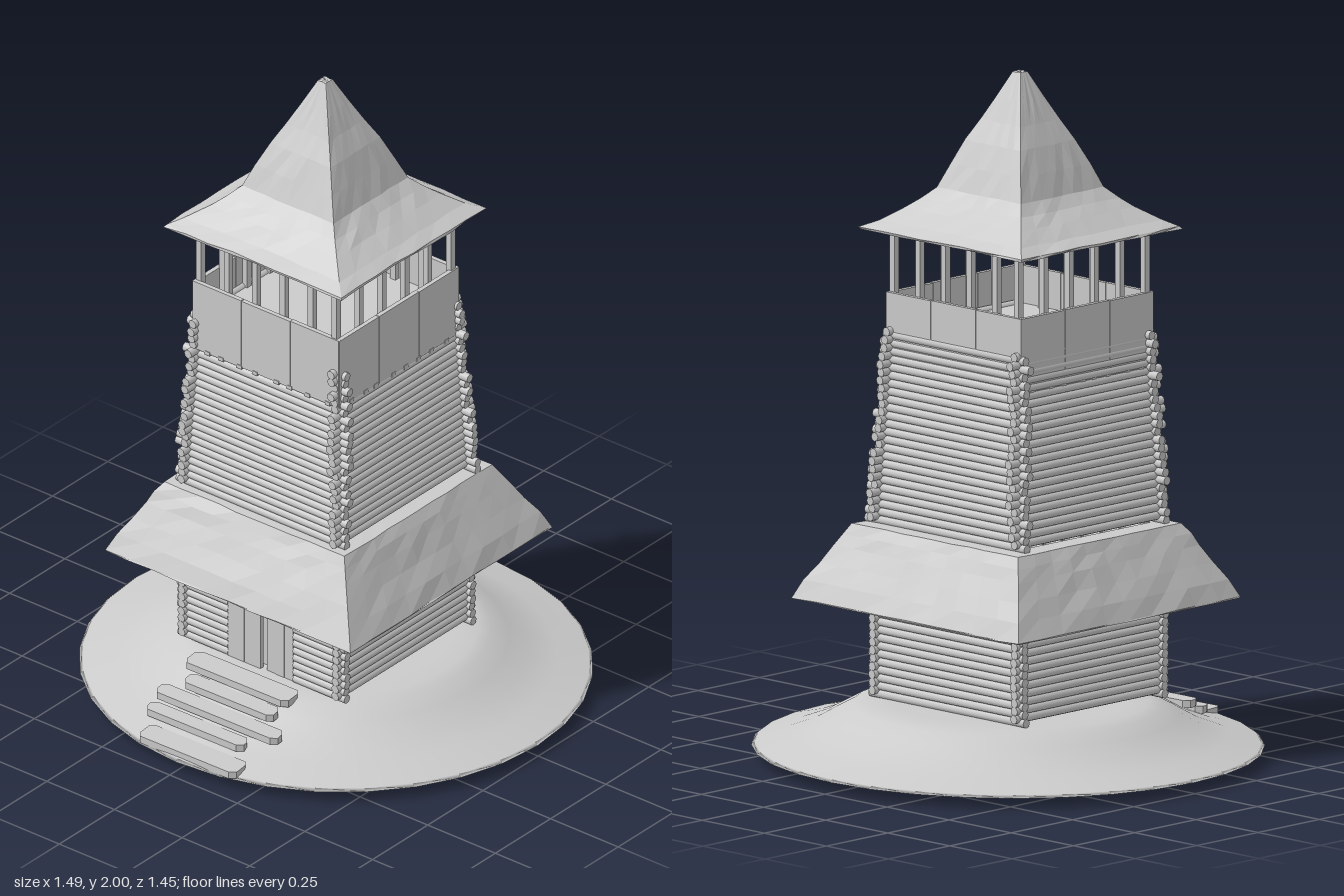
import * as THREE from 'three';

const mat = new THREE.MeshStandardMaterial({ color: 0xcccccc, side: THREE.DoubleSide });
const flat = new THREE.MeshStandardMaterial({ color: 0xcccccc, flatShading: true, side: THREE.DoubleSide });

// Seeded jitter in the range -1..1
let seed = 7;
const jitter = () => {
  seed = (seed * 16807) % 2147483647;
  return (seed / 2147483647) * 2 - 1;
};

function add(parent, name, geometry, x = 0, y = 0, z = 0, material = flat) {
  const mesh = new THREE.Mesh(geometry, material);
  mesh.name = name;
  mesh.position.set(x, y, z);
  parent.add(mesh);
  return mesh;
}

function group(parent, name, x = 0, z = 0) {
  const g = new THREE.Group();
  g.name = name;
  g.position.set(x, 0, z);
  parent.add(g);
  return g;
}

// Square roof built from rows of [half width, y]; inner rows wobble slightly
function squareRoof(rows, n, wobble) {
  const pos = [], index = [], ring = 4 * n;
  rows.forEach(([half, y], r) => {
    const inner = r > 0 && r < rows.length - 1;
    for (let i = 0; i < ring; i++) {
      const side = Math.floor(i / n), t = ((i % n) / n) * 2 - 1;
      const d = inner ? half + jitter() * wobble * half : half;
      const a = side * Math.PI / 2, c = Math.cos(a), s = Math.sin(a);
      const px = t * d, pz = d;
      pos.push(px * c + pz * s, y + (inner ? jitter() * wobble * 0.1 : 0), -px * s + pz * c);
    }
  });
  for (let r = 0; r < rows.length - 1; r++) {
    for (let i = 0; i < ring; i++) {
      const j = (i + 1) % ring, a = r * ring + i, b = r * ring + j;
      index.push(a, b, b + ring, a, b + ring, a + ring);
    }
  }
  const g = new THREE.BufferGeometry();
  g.setAttribute('position', new THREE.Float32BufferAttribute(pos, 3));
  g.setIndex(index);
  g.computeVertexNormals();
  return g;
}

// Horizontal log between two points along x or z
function addLog(parent, alongX, from, to, y, offset, r) {
  const mid = (from + to) / 2;
  const log = add(parent, 'log', new THREE.CylinderGeometry(r, r, to - from, 8),
    alongX ? mid : offset, y, alongX ? offset : mid, mat);
  if (alongX) log.rotation.z = Math.PI / 2;
  else log.rotation.x = Math.PI / 2;
}

// Interlocked log walls; half(y) gives the half width of the tower
function logWalls(parent, y0, y1, pitch, half, reach, vary, door) {
  for (let y = y0; y <= y1; y += pitch) {
    const h = half(y);
    for (const s of [-1, 1]) {
      const a = -h - reach + jitter() * vary, b = h + reach + jitter() * vary;
      if (door && s > 0 && y < door.top) {
        addLog(parent, true, a, door.left, y, h, 0.0135);
        addLog(parent, true, door.right, b, y, h, 0.0135);
      } else addLog(parent, true, a, b, y, s * h, 0.0135);
      addLog(parent, false, -h - reach + jitter() * vary, h + reach + jitter() * vary,
        y + pitch / 2, s * h, 0.0135);
    }
  }
}

export function createModel() {
  const model = new THREE.Group();
  model.name = 'watchTower';

  // Earth mound
  const profile = [[0, 0.005], [0.4, 0.005], [0.62, 0.014], [0.745, 0.036], [0.735, 0.044], [0.64, 0.066],
    [0.56, 0.096], [0.5, 0.13], [0.45, 0.157], [0.41, 0.167], [0.35, 0.17], [0, 0.17]]
    .map(([x, y]) => new THREE.Vector2(x, y));
  const mound = add(model, 'mound', new THREE.LatheGeometry(profile, 32), 0, 0, -0.003, mat);
  mound.scale.z = 0.975;

  // Stone steps: x from, x to, y, z, depth
  const steps = group(model, 'steps');
  for (const [a, b, y, z, d] of [[-0.16, 0.2, 0.052, 0.67, 0.08], [-0.21, 0.15, 0.08, 0.588, 0.055],
    [-0.22, 0.23, 0.107, 0.53, 0.06], [-0.16, 0.17, 0.137, 0.475, 0.06], [-0.2, 0.18, 0.163, 0.41, 0.08]]) {
    const w = b - a, c = 0.018, s = new THREE.Shape();
    s.moveTo(-w / 2 + c, -d / 2);
    s.lineTo(w / 2 - c, -d / 2 + 0.004);
    s.lineTo(w / 2, -d / 2 + c);
    s.lineTo(w / 2 - 0.004, d / 2 - c);
    s.lineTo(w / 2 - c, d / 2);
    s.lineTo(-w / 2 + c, d / 2 - 0.004);
    s.lineTo(-w / 2, d / 2 - c);
    s.lineTo(-w / 2 + 0.004, -d / 2 + c);
    const g = new THREE.ExtrudeGeometry(s, { depth: 0.022, bevelEnabled: false });
    add(steps, 'step', g.rotateX(-Math.PI / 2), (a + b) / 2, y - 0.011, z);
  }

  // Log tower: straight base storey, tapering upper storey
  const walls = group(model, 'logWalls', 0.002, 0.043);
  const taper = y => 0.285 - 0.03 * (y - 0.68) / 0.56;
  logWalls(walls, 0.18, 0.66, 0.0235, () => 0.285, 0.024, 0.003, { top: 0.4, left: -0.122, right: 0.118 });
  logWalls(walls, 0.69, 1.235, 0.0235, taper, 0.034, 0.013);

  // Double door, each leaf made of planks, with a dark gap between them
  const door = group(model, 'door', 0, 0.043);
  for (const [a, b, z] of [[-0.12, -0.06, 0.289], [-0.059, 0, 0.289], [0.02, 0.05, 0.283],
    [0.052, 0.083, 0.285], [0.085, 0.116, 0.284]]) {
    add(door, 'doorPlank', new THREE.BoxGeometry(b - a, 0.23, 0.014), (a + b) / 2, 0.285, z);
  }
  add(door, 'doorBacking', new THREE.BoxGeometry(0.24, 0.23, 0.01), -0.002, 0.285, 0.262);

  // Skirt roof around the base storey, with a lid and an underside
  const skirt = squareRoof([[0.27, 0.5], [0.43, 0.463], [0.455, 0.46], [0.455, 0.464], [0.43, 0.515],
    [0.4, 0.565], [0.372, 0.615], [0.352, 0.65], [0.333, 0.68], [0.27, 0.682]], 10, 0.008);
  add(model, 'skirtRoof', skirt, -0.002, 0, 0.032);

  // Belfry: floor, parapet planks, and posts
  const belfry = group(model, 'belfry', 0.005, 0.05);
  add(belfry, 'floor', new THREE.BoxGeometry(0.52, 0.02, 0.52), 0, 1.235, 0);
  for (let k = 0; k < 4; k++) {
    const side = group(belfry, 'parapetSide');
    side.rotation.y = k * Math.PI / 2;
    for (let i = -1; i <= 1; i++) {
      const h = 0.222 + jitter() * 0.002;
      add(side, 'parapetPanel', new THREE.BoxGeometry(0.179, h, 0.014), i * 0.181, 1.244, 0.265);
    }
    for (let i = 0; i < 5; i++) {
      add(side, 'post', new THREE.BoxGeometry(0.019, 0.33, 0.019), -0.258 + i * 0.1032, 1.39, 0.25);
    }
    // Pegs along the lower edge
    for (let i = 0; i < 8; i++) {
      add(side, 'peg', new THREE.BoxGeometry(0.018, 0.012, 0.014), -0.22 + i * 0.063 + jitter() * 0.012, 1.134, 0.267);
    }
  }

  // Flared spire roof with a closed underside
  const spire = squareRoof([[0.001, 1.56], [0.31, 1.545], [0.325, 1.538], [0.326, 1.546], [0.285, 1.566],
    [0.235, 1.602], [0.2, 1.63], [0.17, 1.662], [0.142, 1.73], [0.112, 1.8], [0.08, 1.86],
    [0.05, 1.925], [0.015, 2], [0.001, 2]], 8, 0.015);
  add(model, 'spireRoof', spire, 0.003, 0, 0.05);

  return model;
}
